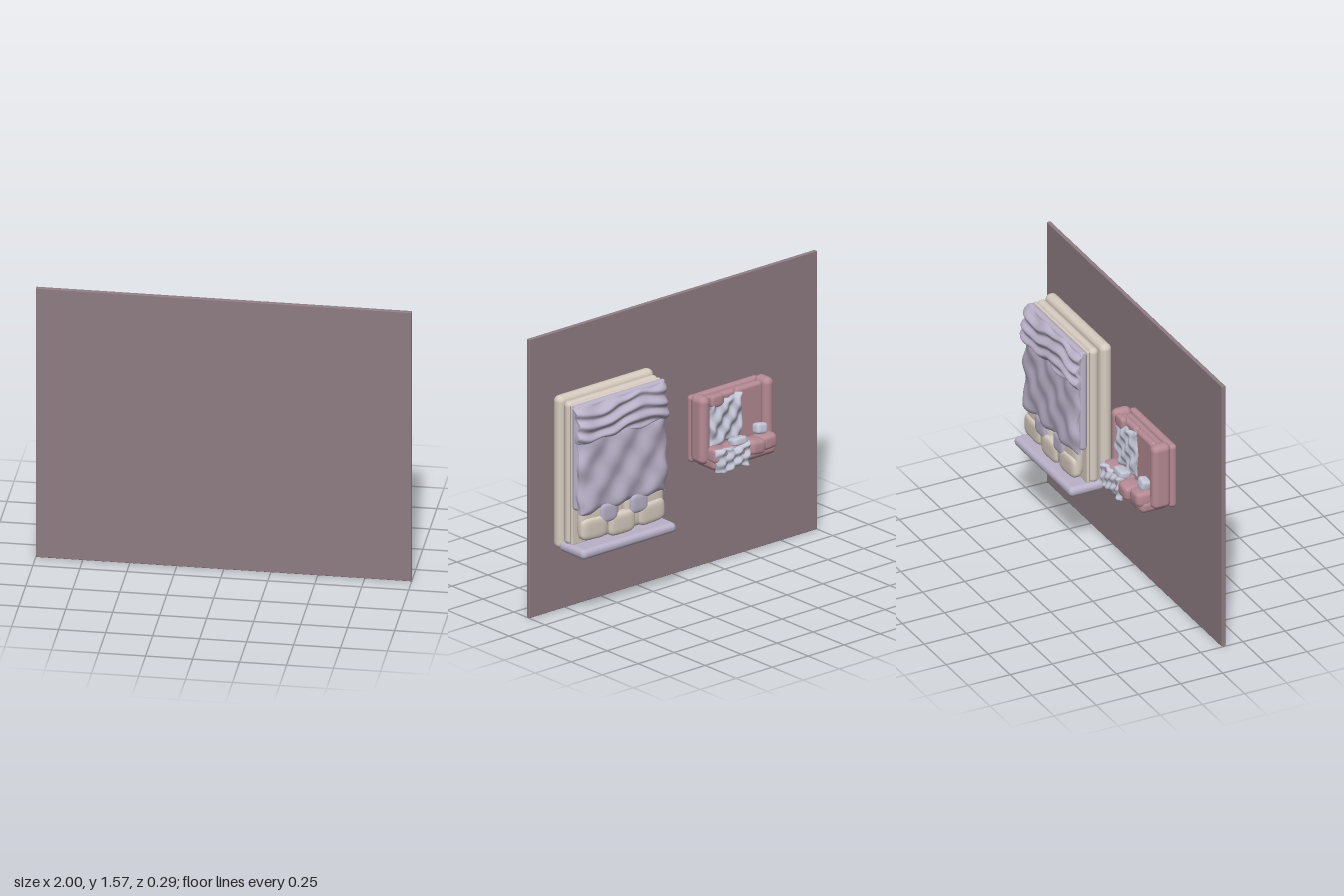
import * as THREE from 'three';
import { RoundedBoxGeometry } from 'three/addons/geometries/RoundedBoxGeometry.js';

const mat = (name, color) => {
  const m = new THREE.MeshStandardMaterial({ color });
  m.name = name;
  return m;
};

export function createModel() {
  const floorMat = mat('mauve floor', 0x8f7d83);
  const cream = mat('cream', 0xd6cbbf);
  const lavender = mat('lavender', 0xbab2c9);
  const pink = mat('dusty pink', 0xb58a94);
  const pale = mat('pale blue throw', 0xc3c5d6);

  const root = new THREE.Group();
  root.name = 'bedroomSet';

  const add = (parent, name, geometry, material) => {
    const m = new THREE.Mesh(geometry, material);
    m.name = name;
    parent.add(m);
    return m;
  };

  // Rounded block given by its [min, max] range on each axis
  const block = (parent, name, material, x, y, z, r) => {
    const size = [x, y, z].map(([a, b]) => b - a);
    const m = add(parent, name, new RoundedBoxGeometry(...size, 5, Math.min(r, Math.min(...size) * 0.49)), material);
    m.position.set((x[0] + x[1]) / 2, (y[0] + y[1]) / 2, (z[0] + z[1]) / 2);
    return m;
  };

  // Soft pillow: a block that is puffed in the middle and thin at the rim
  const pillow = (parent, name, material, [x, y, z], [w, h, d], turn = [0, 0, 0]) => {
    const g = new THREE.SphereGeometry(1, 32, 20);
    const p = g.attributes.position;
    const soft = (v, e) => Math.sign(v) * Math.pow(Math.abs(v), e);
    for (let i = 0; i < p.count; i++) {
      p.setXYZ(i, soft(p.getX(i), 0.5) * w / 2, soft(p.getY(i), 0.5) * h / 2, soft(p.getZ(i), 0.6) * d / 2);
    }
    g.computeVertexNormals();
    const m = add(parent, name, g, material);
    m.position.set(x, y, z);
    m.rotation.set(...turn);
    return m;
  };

  // Cloth slab: lift(x, y) gives its z, with slightly wavy side edges
  const cloth = (parent, name, material, x, y, thick, lift) => {
    const w = x[1] - x[0], h = y[1] - y[0];
    const g = new THREE.BoxGeometry(w, h, thick, 48, 48, 1);
    g.translate((x[0] + x[1]) / 2, (y[0] + y[1]) / 2, 0);
    const p = g.attributes.position;
    for (let i = 0; i < p.count; i++) {
      const px = p.getX(i), py = p.getY(i);
      const u = (px - x[0]) / w * 2 - 1, v = (py - y[0]) / h * 2 - 1;
      const rim = Math.max(Math.pow(Math.abs(u), 14), Math.pow(Math.abs(v), 14));
      p.setXYZ(i,
        px + u * Math.sin(py * 38) * 0.006,
        py + v * Math.sin(px * 34) * 0.006,
        p.getZ(i) * (1 - rim * 0.4) + lift(px, py) + rim * 0.014);
    }
    g.computeVertexNormals();
    return add(parent, name, g, material);
  };

  // Floor panel
  block(root, 'floorPanel', floorMat, [-1, 1], [0, 1.57], [0.125, 0.147], 0.004);

  // Bed, lying against the panel with its headboard at the low end
  const bed = new THREE.Group();
  bed.name = 'bed';
  root.add(bed);
  block(bed, 'bedBase', cream, [0.2, 0.865], [0.372, 1.233], [0.036, 0.105], 0.033);
  block(bed, 'mattress', cream, [0.22, 0.85], [0.41, 1.216], [-0.02, 0.036], 0.027);
  block(bed, 'mattressTopper', cream, [0.225, 0.845], [0.415, 1.21], [-0.037, -0.018], 0.009);
  block(bed, 'headboard', lavender, [0.205, 0.86], [0.364, 0.42], [-0.147, 0.06], 0.026);
  block(bed, 'duvet', lavender, [0.222, 0.848], [0.62, 1.21], [-0.076, -0.033], 0.02);

  cloth(bed, 'blanket', lavender, [0.235, 0.842], [0.6, 1.06], 0.03, (x, y) =>
    -0.087 - 0.012 * (1.06 - y) / 0.46
    + 0.007 * Math.sin(x * 28 + y * 22) + 0.004 * Math.sin(x * 30 - y * 30));
  cloth(bed, 'foldedThrow', lavender, [0.228, 0.85], [1.0, 1.2], 0.03, (x, y) =>
    -0.076 - 0.026 * Math.min(1, (1.2 - y) / 0.1)
    + 0.009 * Math.sin(y * 95 + 2.2 * Math.sin(x * 11)) + 0.003 * Math.sin(x * 37));

  // Pillows: back row, lavender pair, then three in front
  for (const x of [0.38, 0.69]) {
    pillow(bed, 'backPillow', cream, [x, 0.545, -0.065], [0.27, 0.21, 0.06]);
  }
  for (const x of [0.43, 0.64]) {
    pillow(bed, 'accentPillow', lavender, [x, 0.575, -0.085], [0.12, 0.11, 0.05]);
  }
  [[0.34, 0.5], [0.545, 0.49], [0.735, 0.508]].forEach(([x, y], i) =>
    pillow(bed, 'frontPillow', cream, [x, y, -0.078], [0.185, 0.125, 0.062], [0, 0, (i - 1) * 0.05]));

  // Sofa, with its back at the low end and the seat facing up
  const sofa = new THREE.Group();
  sofa.name = 'sofa';
  root.add(sofa);
  block(sofa, 'sofaBase', pink, [-0.545, -0.065], [0.625, 1.0], [0.055, 0.1], 0.02);
  block(sofa, 'seatFrame', pink, [-0.53, -0.08], [0.63, 0.99], [0.01, 0.06], 0.02);
  block(sofa, 'sofaBack', pink, [-0.525, -0.085], [0.615, 0.69], [-0.105, 0.06], 0.03);
  for (const s of [-1, 1]) {
    const cx = -0.305 + s * 0.221;
    block(sofa, 'armrest', pink, [cx - 0.034, cx + 0.034], [0.64, 1.02], [-0.05, 0.06], 0.033);
    const c = -0.305 + s * 0.095;
    block(sofa, 'seatCushion', pink, [c - 0.093, c + 0.093], [0.68, 1.01], [-0.028, 0.015], 0.02);
  }

  // Back cushions and small accents
  [[-0.465, 0.11, -0.07], [-0.37, 0.11, -0.09], [-0.255, 0.13, -0.07], [-0.14, 0.11, -0.07]].forEach(([x, w, z], i) =>
    pillow(sofa, 'backCushion', pink, [x, 0.695, z], [w, 0.085, 0.11], [0, 0, i % 2 ? 0.1 : -0.06]));
  pillow(sofa, 'accentCushion', pale, [-0.45, 0.76, -0.05], [0.075, 0.06, 0.06], [0.2, 0, 0.15]);
  pillow(sofa, 'accentCushion', pale, [-0.265, 0.745, -0.085], [0.1, 0.045, 0.07], [0.2, 0, 0]);
  pillow(sofa, 'looseCushion', pink, [-0.16, 0.985, -0.035], [0.09, 0.07, 0.04]);

  // Quilted throws on the seat and over the back
  cloth(sofa, 'seatThrow', pale, [-0.335, -0.115], [0.735, 0.985], 0.02, (x, y) =>
    -0.043 + 0.008 * Math.sin(x * 60 + y * 45) + 0.005 * Math.sin(x * 70 - y * 60));
  cloth(sofa, 'backThrow', pale, [-0.32, -0.095], [0.61, 0.735], 0.016, (x, y) =>
    -0.125 + 0.006 * Math.sin(x * 110) + 0.006 * Math.sin(y * 100 + x * 40));

  return root;
}
